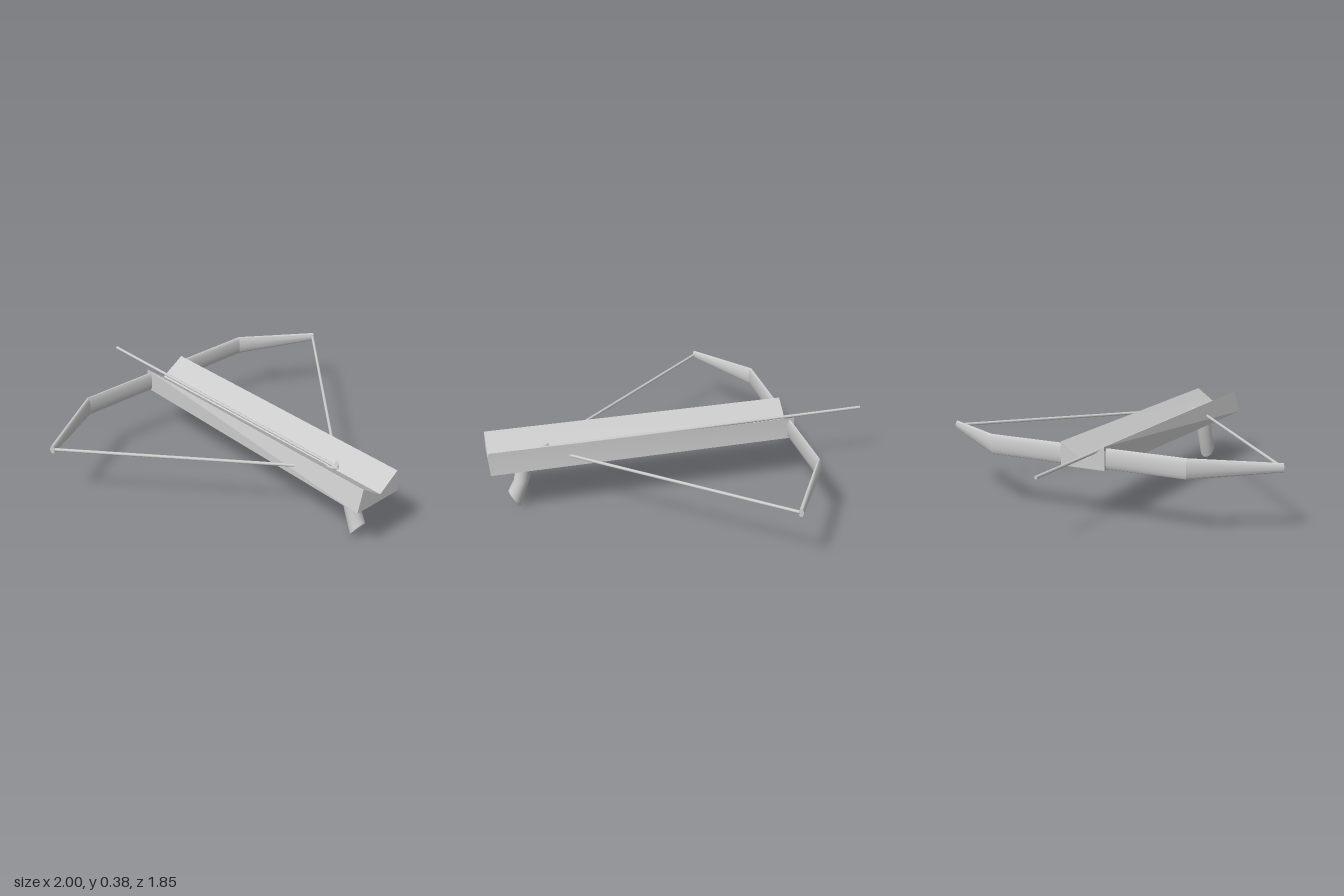
import * as THREE from 'three';
import { toCreasedNormals } from 'three/addons/utils/BufferGeometryUtils.js';

const V = (x, y, z) => new THREE.Vector3(x, y, z);
const material = new THREE.MeshStandardMaterial({ color: 0xcccccc });

// Skin between equal-length rings of points, with fan caps at both ends.
// Rings run counter-clockwise when looking back along the loft direction.
function loft(name, rings, crease) {
  const pos = [];
  const tri = (...pts) => pts.forEach((p) => pos.push(p.x, p.y, p.z));
  const n = rings[0].length;
  for (let r = 0; r < rings.length - 1; r++) {
    const a = rings[r], b = rings[r + 1];
    for (let i = 0; i < n; i++) {
      const j = (i + 1) % n;
      tri(a[i], a[j], b[j]);
      tri(a[i], b[j], b[i]);
    }
  }
  const first = rings[0], last = rings[rings.length - 1];
  for (let i = 1; i < n - 1; i++) {
    tri(first[0], first[i + 1], first[i]);
    tri(last[0], last[i], last[i + 1]);
  }
  const geometry = new THREE.BufferGeometry();
  geometry.setAttribute('position', new THREE.Float32BufferAttribute(pos, 3));
  const mesh = new THREE.Mesh(toCreasedNormals(geometry, crease), material);
  mesh.name = name;
  return mesh;
}

// Elliptical ring spanned by two half-axis vectors; the loft runs along u x v.
function ellipse(center, u, v, sides = 20) {
  return Array.from({ length: sides }, (_, i) => {
    const t = (i / sides) * Math.PI * 2;
    return center.clone().addScaledVector(u, Math.cos(t)).addScaledVector(v, Math.sin(t));
  });
}

// Thin round rod between two points
function rod(name, a, b, radius) {
  const dir = b.clone().sub(a);
  const geometry = new THREE.CylinderGeometry(radius, radius, dir.length(), 10);
  const mesh = new THREE.Mesh(geometry, material);
  mesh.position.copy(a).add(b).multiplyScalar(0.5);
  mesh.quaternion.setFromUnitVectors(V(0, 1, 0), dir.normalize());
  mesh.name = name;
  return mesh;
}

export function createModel() {
  const model = new THREE.Group();
  model.name = 'crossbow';

  // Stock: M-shaped section with a V groove, flaring slightly to the rear
  const front = [[0.01, 0.3], [0.12, 0.384], [0.12, 0.267], [-0.12, 0.267], [-0.12, 0.384]];
  const rear = [[0.012, 0.303], [0.135, 0.384], [0.167, 0.267], [-0.117, 0.267], [-0.1, 0.384]];
  const section = (x, pts) => pts.map(([z, y]) => V(x, y, z));
  model.add(loft('stock', [section(-0.575, front), section(1, rear)], 0.2));

  // Flattened bow limbs that bend back and taper, with strings to the nock
  const nock = V(0.73, 0.317, 0.01);
  for (const [side, s, tipY] of [['left', 1, 0.32], ['right', -1, 0.335]]) {
    const ring = (x, y, z, ux, uz, halfThick, halfHeight) =>
      ellipse(V(x, y, z * s), V(ux * s, 0, -uz).multiplyScalar(halfThick), V(0, halfHeight, 0));
    const rings = [
      ring(-0.552, 0.322, 0.112, 1, 0, 0.014, 0.051),
      ring(-0.552, 0.322, 0.535, 0.96, 0.28, 0.014, 0.051),
      ring(-0.32, tipY, 0.918, 0.85, 0.53, 0.012, 0.022),
    ];
    model.add(loft(side + 'Limb', rings, 0.5));
    model.add(rod(side + 'String', V(-0.318, tipY, 0.91 * s), nock, 0.008));
  }

  // Bolt lying in the groove
  model.add(rod('bolt', V(-1, 0.325, 0.01), V(0.73, 0.319, 0.01), 0.008));

  // Bent round grip under the rear of the stock
  const gripRing = (x, y, ux, uy) => ellipse(V(x, y, 0.015), V(ux, uy, 0), V(0, 0, 0.042));
  model.add(loft('grip', [
    gripRing(0.818, 0.29, 0.041, 0),
    gripRing(0.839, 0.155, 0.042, -0.008),
    gripRing(0.884, 0.044, 0.029, 0.044),
  ], 0.6));

  return model;
}
